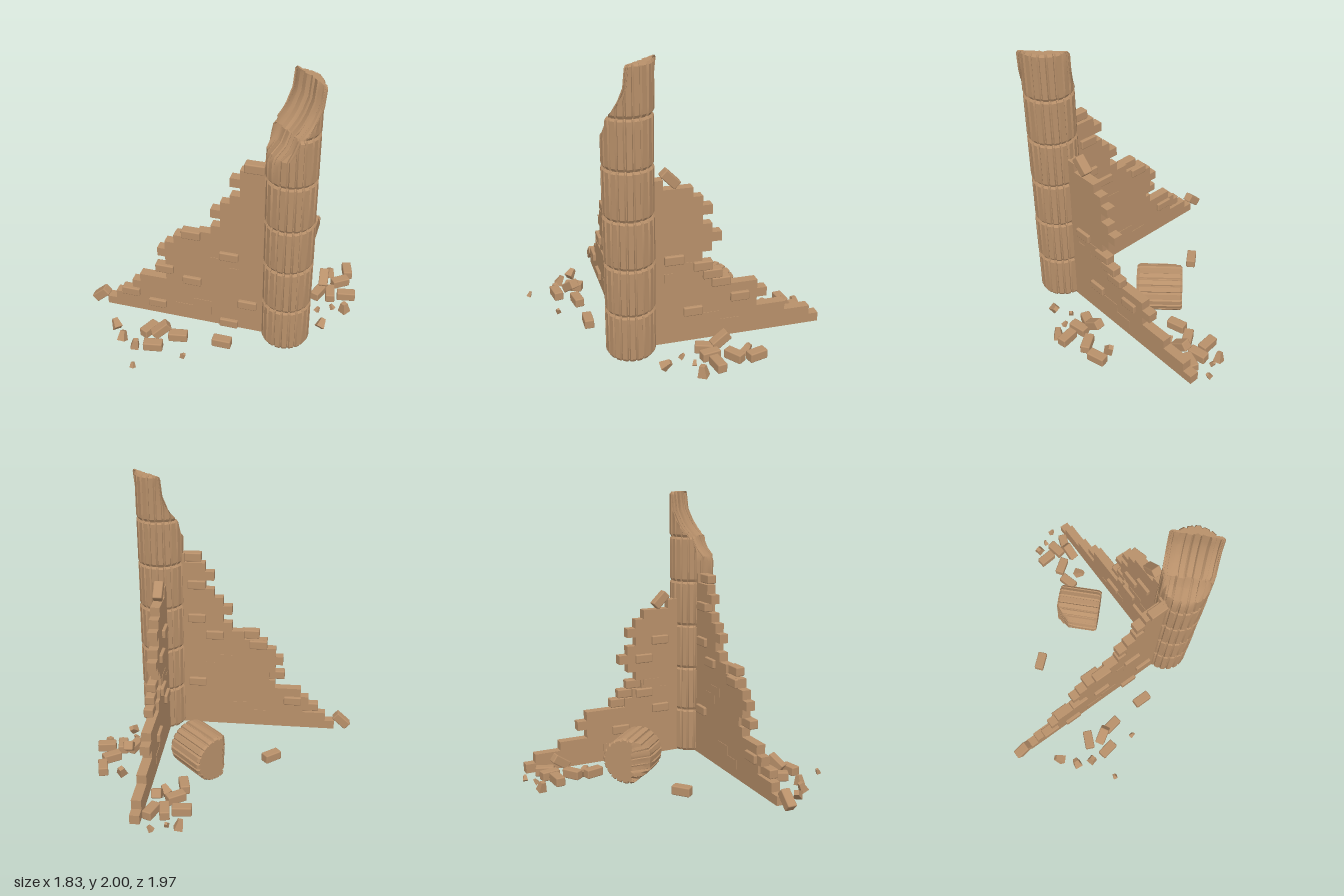
import * as THREE from 'three';
import { toCreasedNormals } from 'three/addons/utils/BufferGeometryUtils.js';
import { RoundedBoxGeometry } from 'three/addons/geometries/RoundedBoxGeometry.js';

const BASE = 0.06, COURSE = 0.0648, DRUM = 0.324, RADIUS = 0.165, THICK = 0.066;
const deg = Math.PI / 180;

function seeded(seed) {
  return () => (seed = (seed * 16807) % 2147483647) / 2147483647;
}

// piecewise linear lookup in [[x, y], ...]
function lookup(table, x) {
  if (x <= table[0][0]) return table[0][1];
  for (let i = 1; i < table.length; i++) {
    const [x0, y0] = table[i - 1], [x1, y1] = table[i];
    if (x <= x1) return y0 + ((y1 - y0) * (x - x0)) / (x1 - x0);
  }
  return table[table.length - 1][1];
}

// fluted drum from rings; an optional break table limits how far it reaches to the front left
function drumGeometry(levels, breakLine, seed) {
  const rand = seeded(seed), flutes = 20, section = [], pos = [], index = [];
  for (let f = 0; f < flutes; f++) {
    const wobble = (rand() - 0.5) * 0.05, peak = 1 - rand() * 0.025;
    [0.925, peak, peak, 0.93].forEach((r, k) => {
      const a = ((f + [0.0, 0.14, 0.76, 0.9][k] + wobble) / flutes) * Math.PI * 2;
      section.push([Math.cos(a) * r * RADIUS, Math.sin(a) * r * RADIUS, (rand() - 0.5) * 0.018]);
    });
  }
  const n = section.length, last = levels.length - 1;
  levels.forEach((y, l) => {
    const scale = l === 0 || l === last ? 0.93 : 1;
    for (const [px, pz, rough] of section) {
      let x = px * scale, z = pz * scale;
      if (breakLine) {
        const s = (z - x) * Math.SQRT1_2;
        const over = Math.max(0, s - lookup(breakLine, y) - rough) * Math.SQRT1_2;
        x += over;
        z -= over;
      }
      pos.push(x, y, z);
    }
  });
  for (let l = 0; l < last; l++) {
    for (let i = 0; i < n; i++) {
      const a = l * n + i, b = l * n + (i + 1) % n;
      index.push(a, a + n, b, b, a + n, b + n);
    }
  }
  for (const l of [0, last]) {
    let cx = 0, cz = 0;
    for (let i = 0; i < n; i++) {
      cx += pos[(l * n + i) * 3] / n;
      cz += pos[(l * n + i) * 3 + 2] / n;
    }
    const c = pos.length / 3;
    pos.push(cx, levels[l], cz);
    for (let i = 0; i < n; i++) {
      const a = l * n + i, b = l * n + (i + 1) % n;
      if (l) index.push(c, b, a);
      else index.push(c, a, b);
    }
  }
  const g = new THREE.BufferGeometry();
  g.setAttribute('position', new THREE.Float32BufferAttribute(pos, 3));
  g.setIndex(index);
  return toCreasedNormals(g, 0.45);
}

// wall slab with a stepped broken edge, one entry per course
function wallGeometry(ends, inner) {
  const shape = new THREE.Shape().moveTo(inner, BASE);
  ends.forEach((u, i) => {
    shape.lineTo(u, BASE + i * COURSE);
    shape.lineTo(u, BASE + (i + 1) * COURSE);
  });
  shape.lineTo(inner, BASE + ends.length * COURSE);
  const g = new THREE.ExtrudeGeometry(shape, { depth: THICK, bevelEnabled: false });
  return g.translate(0, 0, -THICK / 2);
}

export function createModel() {
  const model = new THREE.Group();
  const stone = new THREE.MeshStandardMaterial({ color: 0xb8906a });
  stone.name = 'sandstone';
  const brickGeo = new RoundedBoxGeometry(0.13, 0.064, THICK, 2, 0.008);

  const add = (parent, name, geo, x = 0, y = 0, z = 0) => {
    const m = new THREE.Mesh(geo, stone);
    m.name = name;
    m.position.set(x, y, z);
    parent.add(m);
    return m;
  };

  // standing column, with the top two drums broken away towards the front left
  const column = new THREE.Group();
  column.name = 'column';
  column.position.set(0.495, 0, 0.4);
  model.add(column);
  const breakLine = [[1.5, 0.19], [1.53, 0.15], [1.6, 0.075], [1.68, 0.04], [1.73, -0.01],
    [1.78, -0.045], [1.87, -0.085], [2, -0.1]];
  for (let i = 0; i < 6; i++) {
    const y = BASE + i * DRUM, top = Math.min(2, y + DRUM);
    const middle = [[], [], [], [], [1.5, 1.54, 1.6], [1.74, 1.79, 1.87, 1.93]][i];
    add(column, 'columnDrum', drumGeometry([y, y + 0.02, ...middle, top - 0.015, top],
      i > 3 ? breakLine : null, 11 + i * 7));
  }

  // fallen drum with a chipped corner
  const fallen = add(model, 'fallenDrum', drumGeometry([-0.16, -0.14, 0, 0.06, 0.11, 0.145, 0.16],
    [[0, 0.19], [0.06, 0.15], [0.16, 0.05]], 91), 0.125, 0.2, -0.24);
  fallen.rotateOnAxis(new THREE.Vector3(-1, 0, 1).normalize(), Math.PI / 2);

  // each wall: stepped slab, shifted bricks [along, course, side], flush blocks [along, course, width, courses]
  const buildWall = (name, ends, inner, bricks, blocks) => {
    const wall = new THREE.Group();
    wall.name = name;
    model.add(wall);
    add(wall, name + 'Slab', wallGeometry(ends, inner));
    for (const [u, c, side] of bricks) {
      add(wall, 'shiftedBrick', brickGeo, u, BASE + (c + 0.5) * COURSE, side * 0.022);
    }
    for (const [u, c, w, h] of blocks) {
      add(wall, 'flushBlock', new THREE.BoxGeometry(w, h * COURSE, THICK + 0.006),
        u, BASE + (c + h / 2) * COURSE, 0);
    }
    return wall;
  };

  const sideWall = buildWall('frontWall',
    [-0.8, -0.73, -0.56, -0.6, -0.54, -0.345, -0.3, -0.345, -0.4, -0.345, -0.28, -0.11, -0.02,
      0.045, -0.02, 0.045, 0.11, 0.175, 0.11, 0.175, 0.32], 0.42,
    [[-0.61, 2, 1], [-0.415, 1, 1], [-0.35, 6, 1], [-0.155, 5, 1], [-0.155, 11, 1], [0.105, 9, 1],
      [0.235, 3, 1], [0.27, 20, 1], [0.105, 0, 1], [-0.215, 10, -1], [0.105, 11, -1], [0.235, 13, -1],
      [0.235, 5, -1], [0.235, 17, -1], [-0.48, 3, -1]],
    [[0.04, 8, 0.13, 1], [0.105, 7, 0.13, 1], [-0.085, 2, 0.13, 1], [-0.15, 1, 0.26, 1]]);
  sideWall.position.z = 0.398;

  const backWall = buildWall('rearWall',
    [-0.93, -0.86, -0.675, -0.47, -0.54, -0.47, -0.17, -0.11, -0.04, -0.08, -0.145, -0.21, -0.145,
      -0.08, -0.145, -0.08, -0.015, 0.18], 0.36,
    [[0.11, 9, -1], [-0.02, 3, -1], [-0.345, 4, -1], [-0.21, 6, -1], [-0.15, 7, -1], [-0.085, 8, -1],
      [0.11, 13, 1], [-0.02, 11, 1], [0.11, 5, 1], [-0.21, 3, 1], [-0.02, 7, 1]],
    [[0.11, 7, 0.13, 1], [0.045, 8, 0.13, 1], [-0.15, 2, 0.13, 1], [-0.215, 1, 0.26, 1]]);
  backWall.rotation.y = -Math.PI / 2;
  backWall.position.x = 0.47;
  add(backWall, 'toppledBrick', brickGeo, 0.13, 1.225, 0).rotation.z = 45 * deg;
  add(sideWall, 'toppledBrick', brickGeo, -0.855, 0.12, 0.008).rotation.z = 42 * deg;

  // loose bricks: x, z, heading, tilt
  const loose = [
    [0.105, 0.615, 0, 0], [-0.2, 0.64, 10, 0], [-0.41, 0.63, 65, 0], [-0.335, 0.77, 10, 0],
    [-0.31, 0.67, 30, 35], [-0.35, -0.09, 40, 0],
    [0.81, -0.36, -75, 0], [0.78, -0.22, 35, 0], [0.845, -0.085, 10, 0], [0.73, -0.07, -80, 0],
    [0.645, -0.06, 70, 0], [0.665, -0.16, 95, 35],
    [0.19, -0.78, 5, 0], [0.3, -0.8, -80, 0], [0.385, -0.81, 70, 0], [0.365, -0.7, 95, 35],
    [0.25, -0.65, 35, 0], [0.215, -0.51, -75, 0],
  ];
  for (const [x, z, heading, tilt] of loose) {
    const b = add(model, 'looseBrick', brickGeo, x, tilt ? 0.14 : 0.082, z);
    b.rotation.set(0, heading * deg, tilt * deg);
  }

  // broken chips: x, z, radius
  const rand = seeded(57);
  const chips = [
    [-0.67, 0.61, 0.042], [-0.58, 0.71, 0.04], [-0.47, 0.76, 0.04], [-0.41, 0.96, 0.022],
    [-0.115, 0.79, 0.022], [0.685, -0.34, 0.042], [0.85, 0.015, 0.045], [0.765, 0.045, 0.022],
    [0.67, 0.1, 0.022], [0.72, 0.22, 0.04], [0.34, -0.53, 0.042], [0.19, -0.89, 0.04],
    [0.27, -0.91, 0.022], [0.365, -0.96, 0.024],
  ];
  for (const [x, z, r] of chips) {
    const geo = toCreasedNormals(new THREE.CylinderGeometry(r * 0.55, r, r * 1.7, 4), 0.3);
    const chip = add(model, 'stoneChip', geo, x, r > 0.03 ? 0.05 : 0.06, z);
    chip.rotation.set((rand() - 0.5) * 1.4, rand() * 6, (rand() - 0.5) * 1.4);
  }
  return model;
}
